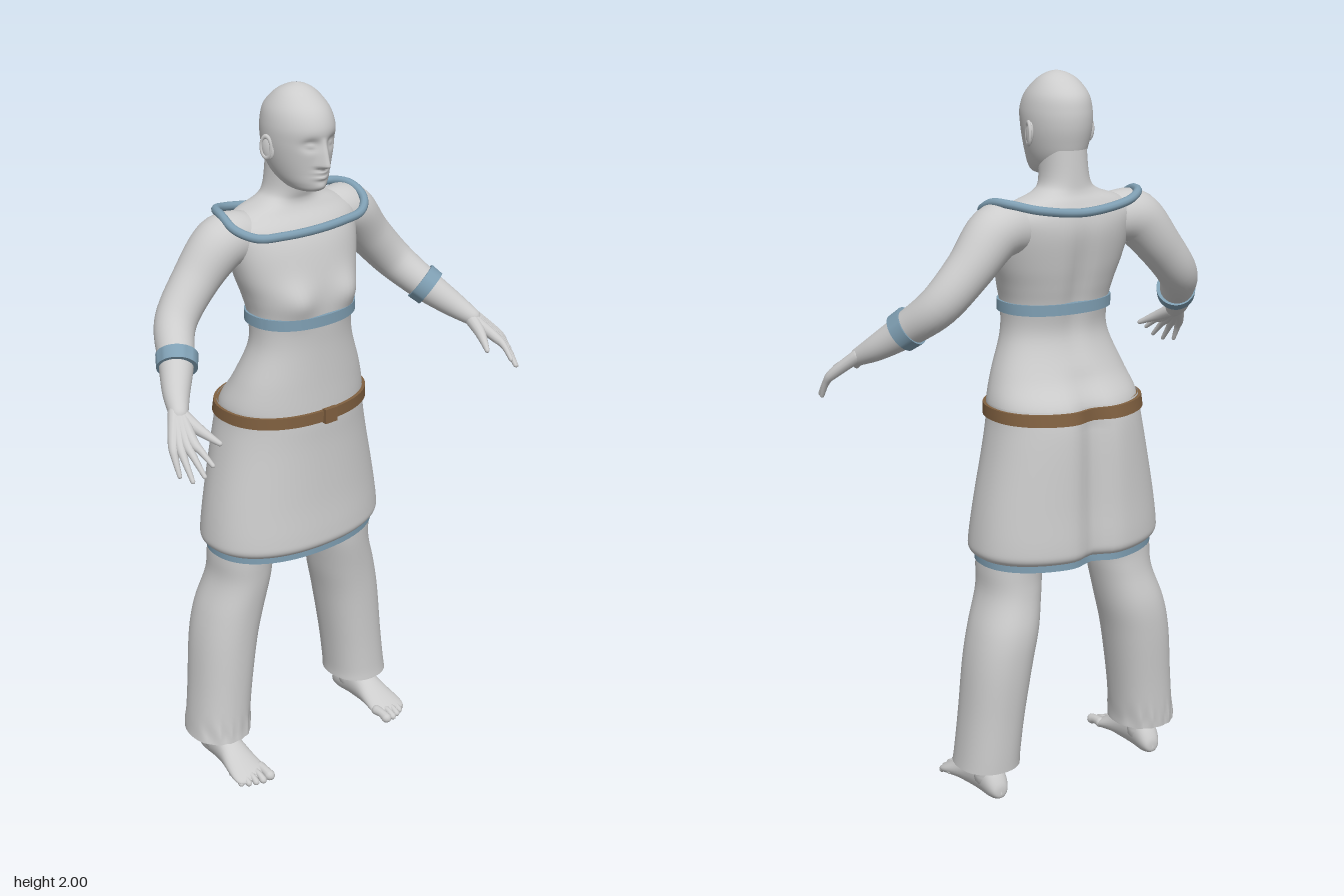
import * as THREE from 'three';
import { toCreasedNormals } from 'three/addons/utils/BufferGeometryUtils.js';

const V = (x, y, z) => new THREE.Vector3(x, y, z);
const bump = (d, w) => Math.exp(-(d * d) / (w * w));

// Skin a list of closed rings with triangles
function skin(rings) {
  const n = rings[0].length, pos = [], idx = [];
  rings.forEach(r => r.forEach(p => pos.push(p.x, p.y, p.z)));
  for (let i = 0; i < rings.length - 1; i++) for (let j = 0; j < n; j++) {
    const a = i * n + j, b = i * n + (j + 1) % n;
    idx.push(a, b, a + n, b, b + n, a + n);
  }
  const g = new THREE.BufferGeometry();
  g.setAttribute('position', new THREE.Float32BufferAttribute(pos, 3));
  g.setIndex(idx);
  g.computeVertexNormals();
  return g;
}

// Smooth interpolation through rows of numbers
function smoothRows(rows, steps) {
  const out = [], at = i => rows[Math.min(rows.length - 1, Math.max(0, i))];
  for (let i = 0; i < rows.length - 1; i++) for (let k = 0; k < steps; k++) {
    const t = k / steps;
    out.push(rows[i].map((b, c) => {
      const a = at(i - 1)[c], d = at(i + 1)[c], e = at(i + 2)[c];
      return b + 0.5 * t * (d - a + t * (2 * a - 5 * b + 4 * d - e + t * (3 * (b - d) + e - a)));
    }));
  }
  out.push(rows[rows.length - 1]);
  return out;
}

// Horizontal ring from a row: y, half width, front z, back z, centre x
function ringAt([y, hw, zf, zb, cx = 0], n, shape, power = 2.2, grow = 0) {
  const ring = [], e = 2 / power;
  for (let j = 0; j < n; j++) {
    const a = j / n * Math.PI * 2, c = Math.cos(a), s = -Math.sin(a);
    const p = V(cx + Math.sign(c) * Math.abs(c) ** e * (hw + grow), y,
      (zf + zb) / 2 + Math.sign(s) * Math.abs(s) ** e * ((zf - zb) / 2 + grow));
    if (shape) shape(p, s);
    ring.push(p);
  }
  return ring;
}
const loft = (rows, { n = 64, steps = 6, shape, power } = {}) =>
  skin(smoothRows(rows, steps).map(r => ringAt(r, n, shape, power)));

// Raised band around a lofted body between two heights
function band(row, y0, y1, grow, shape, row1 = row) {
  const at = (r, y, g) => ringAt([y, ...r.slice(1)], 80, shape, 2.2, g);
  return toCreasedNormals(skin([at(row, y0, -0.012), at(row, y0, grow), at(row1, y1, grow), at(row1, y1, -0.012)]), 0.7);
}

// Round limb through points x, y, z, radius with rounded ends
function limb(points, n = 20, steps = 6) {
  const rows = smoothRows(points, steps), c = rows.map(r => V(r[0], r[1], r[2])), rings = [];
  const add = (o, t, r) => {
    const u = V(0, 0, 1).cross(t);
    if (u.length() < 0.1) u.set(1, 0, 0);
    u.normalize();
    const v = t.clone().cross(u).normalize();
    rings.push(Array.from({ length: n }, (_, j) => {
      const a = j / n * Math.PI * 2;
      return o.clone().addScaledVector(u, r * Math.cos(a)).addScaledVector(v, r * Math.sin(a));
    }));
  };
  const last = c.length - 1;
  c.forEach((p, i) => {
    const t = c[Math.min(last, i + 1)].clone().sub(c[Math.max(0, i - 1)]).normalize(), r = rows[i][3];
    const cap = k => add(p.clone().addScaledVector(t, r * Math.sin(k * Math.PI / 8)), t, r * Math.cos(k * Math.PI / 8));
    if (i === 0) for (let k = -4; k < 0; k++) cap(k);
    add(p, t, r);
    if (i === last) for (let k = 1; k <= 4; k++) cap(k);
  });
  return skin(rings);
}

export function createModel() {
  const body = new THREE.MeshStandardMaterial({ color: 0xcccccc, side: THREE.DoubleSide });
  const trim = new THREE.MeshStandardMaterial({ color: 0x7f9fb3 });
  const leather = new THREE.MeshStandardMaterial({ color: 0x806040 });
  body.name = 'light grey'; trim.name = 'blue trim'; leather.name = 'brown leather';
  const model = new THREE.Group();
  const add = (name, geo, mat = body) => {
    const m = new THREE.Mesh(geo, mat);
    m.name = name;
    model.add(m);
    return m;
  };

  // Head with brow, eyes, nose, lips
  const face = (p, s) => {
    if (s <= 0.2) return;
    const { x, y } = p, ax = Math.abs(x);
    const nose = y > 1.8 ? Math.max(0, 1 - (y - 1.8) / 0.075) : Math.max(0, 1 - (1.8 - y) / 0.01);
    p.z += 0.03 * nose * bump(x, 0.009 + 0.007 * nose);
    p.z -= 0.013 * bump(ax - 0.034, 0.02) * bump(y - 1.858, 0.015);
    p.z += 0.008 * bump(ax - 0.034, 0.012) * bump(y - 1.856, 0.007);
    p.z += 0.009 * bump(x, 0.02) * (bump(y - 1.782, 0.005) + bump(y - 1.768, 0.006));
    p.z += 0.006 * bump(x, 0.02) * bump(y - 1.742, 0.012);
  };
  add('head', loft([[1.722, 0.004, 0.01, 0], [1.73, 0.038, 0.044, -0.06], [1.75, 0.058, 0.055, -0.11],
    [1.78, 0.072, 0.057, -0.135], [1.82, 0.083, 0.061, -0.148], [1.86, 0.089, 0.066, -0.156], [1.9, 0.089, 0.068, -0.156],
    [1.94, 0.079, 0.05, -0.145], [1.975, 0.055, 0.012, -0.11], [1.993, 0.028, -0.018, -0.077], [2, 0.001, -0.044, -0.048]],
  { n: 128, steps: 8, shape: face, power: 2 }));

  // Torso, shoulders and neck
  const cleft = (p, s) => { if (s < 0) p.z += 0.03 * bump(p.x, 0.045) * Math.min(1, Math.max(0, (1.22 - p.y) / 0.15)); };
  const chest = (p, s) => {
    cleft(p, s);
    if (s > 0) p.z += 0.022 * bump(Math.abs(p.x) - 0.09, 0.05) * bump(p.y - 1.44, 0.05);
    else p.z += 0.015 * bump(p.x, 0.03) * bump(p.y - 1.45, 0.15);
  };
  add('torso', loft([[1.08, 0.218, 0.08, -0.24], [1.13, 0.218, 0.078, -0.225], [1.2, 0.195, 0.075, -0.178],
    [1.3, 0.157, 0.073, -0.14], [1.38, 0.155, 0.076, -0.148], [1.44, 0.168, 0.075, -0.162], [1.5, 0.187, 0.065, -0.175],
    [1.58, 0.205, 0.042, -0.187], [1.63, 0.208, 0.016, -0.183], [1.665, 0.165, -0.015, -0.168],
    [1.69, 0.095, -0.025, -0.155], [1.72, 0.067, -0.018, -0.15], [1.8, 0.06, 0, -0.145]], { shape: chest }));
  add('chestBand', band([0, 0.156, 0.079, -0.148], 1.366, 1.396, 0.007), trim);

  // Neckline trim
  const half = [[0.1, 1.622, 0.026], [0.18, 1.628, 0.01], [0.222, 1.65, -0.03], [0.222, 1.675, -0.085],
    [0.2, 1.675, -0.14], [0.14, 1.66, -0.178]].map(p => V(...p));
  const loop = [V(0, 1.62, 0.032), ...half, V(0, 1.643, -0.184), ...half.map(p => V(-p.x, p.y, p.z)).reverse()];
  add('necklineTrim', new THREE.TubeGeometry(new THREE.CatmullRomCurve3(loop, true), 96, 0.012, 10, true), trim);

  // Skirt, hem and belt
  add('skirt', loft([[1.125, 0.22, 0.082, -0.24], [1.08, 0.222, 0.084, -0.252], [1.0, 0.237, 0.084, -0.258],
    [0.85, 0.268, 0.09, -0.262], [0.75, 0.283, 0.098, -0.267], [0.715, 0.282, 0.098, -0.265],
    [0.697, 0.262, 0.084, -0.25]].reverse(), { n: 80, shape: cleft }));
  add('skirtHem', band([0, 0.262, 0.082, -0.25], 0.682, 0.702, 0.004, cleft), trim);
  add('belt', band([0, 0.222, 0.084, -0.249], 1.088, 1.12, 0.008, cleft, [0, 0.22, 0.084, -0.243]), leather);
  add('buckle', new THREE.BoxGeometry(0.042, 0.042, 0.014), leather).position.set(0, 1.104, 0.094);

  for (const s of [1, -1]) {
    const side = s > 0 ? 'left' : 'right';
    const path = pts => pts.map(([x, ...r]) => [s * x, ...r]);

    // Ear
    const ear = add(side + 'Ear', new THREE.SphereGeometry(1, 20, 14));
    ear.scale.set(0.009, 0.032, 0.02);
    ear.position.set(s * 0.089, 1.84, -0.055);
    ear.rotation.set(-0.15, s * -0.3, 0);
    const rim = add(side + 'EarRim', new THREE.TorusGeometry(0.02, 0.005, 8, 24));
    rim.scale.set(0.8, 1.4, 1);
    rim.position.set(s * 0.094, 1.842, -0.057);
    rim.rotation.set(0, Math.PI / 2 - s * 0.3, 0);

    // Arm and cuff
    add(side + 'Arm', limb(path([[0.16, 1.605, -0.09, 0.07], [0.225, 1.595, -0.095, 0.074], [0.305, 1.51, -0.1, 0.063],
      [0.385, 1.42, -0.08, 0.056], [0.44, 1.35, -0.005, 0.047], [0.49, 1.297, 0.06, 0.036], [0.52, 1.265, 0.11, 0.025]]), 32));
    const cuff = new THREE.LatheGeometry([[0.04, -0.019], [0.054, -0.019], [0.056, 0.019], [0.04, 0.019]]
      .map(p => new THREE.Vector2(...p)), 36);
    const cuffMesh = add(side + 'Cuff', toCreasedNormals(cuff, 0.7), trim);
    cuffMesh.position.set(s * 0.44, 1.35, -0.002);
    cuffMesh.quaternion.setFromUnitVectors(V(0, 1, 0), V(s * -0.105, 0.125, -0.14).normalize());

    // Hand: palm strands, fingers and thumb
    const tips = [[0.53, 1.178, 0.262], [0.553, 1.153, 0.258], [0.577, 1.14, 0.24], [0.59, 1.145, 0.203]];
    tips.forEach(([x, y, z], i) => {
      const k = [0.537 + i * 0.013, 1.222 - i * 0.003, 0.188 - i * 0.009];
      add(side + 'Finger' + (i + 1), limb(path([[0.514 + i * 0.005, 1.268, 0.105, 0.018], [...k, 0.0145],
        [(k[0] + x) / 2 + 0.004, (k[1] + y) / 2 + 0.006, (k[2] + z) / 2, 0.0095], [x, y, z, 0.006]]), 12, 5));
    });
    add(side + 'Thumb', limb(path([[0.515, 1.26, 0.115, 0.02], [0.503, 1.238, 0.16, 0.016],
      [0.488, 1.22, 0.195, 0.011], [0.475, 1.207, 0.22, 0.007]]), 12, 5));

    // Trouser leg, with a gathered cuff on the right
    const gather = p => {
      if (s < 0) p.z += 0.006 * Math.sin(p.x * 190) * bump(p.y - 0.13, 0.03);
    };
    add(side + 'TrouserLeg', loft([[0.1, 0.09, 0, -0.195, 0.267], [0.14, 0.088, -0.003, -0.197, 0.264],
      [0.25, 0.088, -0.005, -0.202, 0.252], [0.4, 0.092, -0.003, -0.212, 0.233], [0.5, 0.092, 0.002, -0.212, 0.212],
      [0.6, 0.083, 0.012, -0.195, 0.187], [0.68, 0.086, 0.02, -0.192, 0.178], [0.8, 0.105, 0.035, -0.205, 0.145],
      [0.9, 0.112, 0.05, -0.225, 0.113], [1.06, 0.1, 0.05, -0.21, 0.1]].map(r => [...r.slice(0, 4), s * r[4]]),
    { n: 48, shape: gather }));

    // Foot, ankle and toes
    const footRows = [[-0.172, 0.262, 0.002, 0.03, 0.02], [-0.167, 0.262, 0.022, 0.055, 0.008], [-0.14, 0.263, 0.035, 0.095, 0],
      [-0.09, 0.265, 0.038, 0.112, 0], [-0.04, 0.267, 0.042, 0.098, 0], [0.01, 0.27, 0.05, 0.065, 0.003],
      [0.05, 0.271, 0.055, 0.043, 0], [0.075, 0.271, 0.05, 0.028, 0.002], [0.085, 0.271, 0.03, 0.018, 0.008]];
    add(side + 'Foot', skin(smoothRows(footRows, 4).map(([z, cx, hw, top, low]) => Array.from({ length: 28 }, (_, j) => {
      const a = j / 28 * Math.PI * 2;
      return V(s * cx + hw * Math.cos(a), (top + low) / 2 + (top - low) / 2 * Math.sin(a), z);
    }))));
    add(side + 'Ankle', limb(path([[0.265, 0.06, -0.105, 0.042], [0.266, 0.12, -0.11, 0.042], [0.262, 0.25, -0.115, 0.05]]), 24));
    for (let i = 0; i < 5; i++) {
      const r = i ? 0.0115 - i * 0.0007 : 0.0155, x = [0.23, 0.255, 0.276, 0.296, 0.314][i], z = [0.099, 0.1, 0.094, 0.085, 0.072][i];
      add(side + 'Toe' + (i + 1), limb(path([[x, 0.022, z - 0.045, r], [x, 0.022, z - 0.02, r * 0.85], [x, r + 0.001, z, r]]), 12, 4));
    }
  }
  return model;
}
